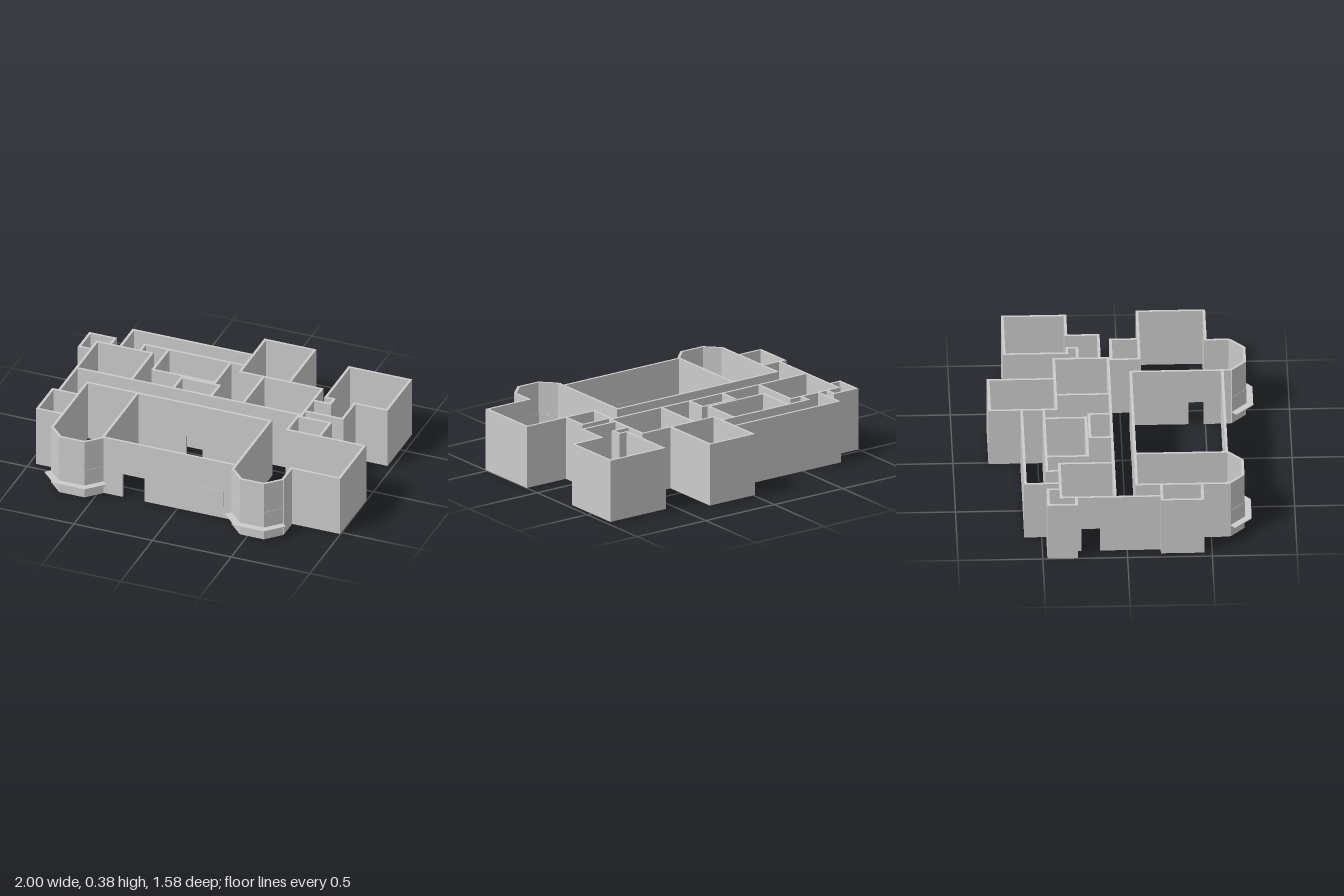
import * as THREE from 'three';

const HEIGHT = 0.38, HALF = 0.008, DOOR = 0.157;
const SILL = 0.08, HEAD = 0.185;

// Mitred offset of an open [x, z] path; positive is towards +z for a path running along +x.
function offsetPath(path, distance) {
  const normals = path.slice(1).map(([x, z], i) =>
    new THREE.Vector2(path[i][1] - z, x - path[i][0]).normalize());
  return path.map(([x, z], i) => {
    const a = normals[Math.max(i - 1, 0)];
    const b = normals[Math.min(i, normals.length - 1)];
    const k = distance / (1 + a.dot(b));
    return new THREE.Vector2(x + (a.x + b.x) * k, z + (a.y + b.y) * k);
  });
}

// Upright strip following a path, between two side offsets and two heights.
function strip(path, inner, outer, y0, y1) {
  const outline = [...offsetPath(path, inner), ...offsetPath(path, outer).reverse()];
  const shape = new THREE.Shape(outline.map(p => new THREE.Vector2(p.x, -p.y)));
  const geometry = new THREE.ExtrudeGeometry(shape, { depth: y1 - y0, bevelEnabled: false });
  return geometry.rotateX(-Math.PI / 2).translate(0, y0, 0);
}

export function createModel() {
  const model = new THREE.Group();
  model.name = 'floorPlan';
  const material = new THREE.MeshStandardMaterial({ color: 0xcccccc, flatShading: true });

  function add(name, path, inner = -HALF, outer = HALF, y0 = 0, y1 = HEIGHT) {
    const mesh = new THREE.Mesh(strip(path, inner, outer, y0, y1), material);
    mesh.name = name;
    model.add(mesh);
  }

  // Straight wall with a doorway between fractions set by two points on it
  function doorWall(name, start, doorA, doorB, end) {
    add(name, [start, doorA]);
    add(name, [doorB, end]);
    add(name + 'Lintel', [doorA, doorB], -HALF, HALF, DOOR, HEIGHT);
  }

  const walls = {
    // back range
    backRoom: [[-0.005, -0.39], [-0.005, -0.783], [0.31, -0.783], [0.31, -0.39]],
    backCorridorOuter: [[-0.767, -0.39], [-0.767, -0.595], [-0.005, -0.595]],
    backCorridorInner: [[-0.64, -0.39], [-0.64, -0.465], [-0.005, -0.465]],
    backCloset: [[-0.49, -0.465], [-0.49, -0.22], [-0.095, -0.22], [-0.095, -0.465]],
    hallCloset: [[-0.3, -0.07], [-0.3, -0.2], [-0.06, -0.2], [-0.06, -0.07]],
    // left range
    leftBackRoom: [[-0.923, -0.39], [-0.565, -0.39], [-0.565, -0.07]],
    leftPorch: [[-0.915, -0.3], [-0.99, -0.3], [-0.99, -0.465], [-0.83, -0.465], [-0.83, -0.39]],
    leftAnnex: [[-0.795, 0.205], [-0.955, 0.205], [-0.955, 0.445], [-0.795, 0.445]],
    // middle range
    middleRoom: [[-0.013, -0.39], [0.515, -0.39], [0.515, -0.062]],
    middlePartition: [[0.145, -0.39], [0.145, -0.07]],
    hallWall: [[-0.915, -0.07], [0.515, -0.07]],
    // right range
    rightBackRoom: [[0.515, -0.25], [0.625, -0.25], [0.625, -0.31], [0.572, -0.31],
      [0.572, -0.68], [0.96, -0.68], [0.96, -0.31], [0.755, -0.31], [0.755, -0.12], [0.515, -0.12]],
    rightCloset: [[0.5, -0.05], [0.705, -0.05], [0.705, 0.115]],
    rightRoom: [[0.5, -0.07], [0.5, 0.115], [0.99, 0.115], [0.99, 0.51], [0.685, 0.51], [0.685, 0.65]],
    // front range
    frontLeftRoom: [[-0.795, 0.61], [-0.795, 0.052]],
    frontPartition: [[-0.475, 0.06], [-0.475, 0.61]],
  };
  for (const [name, path] of Object.entries(walls)) add(name, path);

  // Walls with doorways
  doorWall('frontWall', [-0.475, 0.6], [-0.35, 0.6], [-0.21, 0.6], [0.37, 0.6]);
  doorWall('mainRoomBackWall', [-0.795, 0.06], [-0.165, 0.06], [-0.06, 0.06], [0.378, 0.06]);
  doorWall('mainRoomSideWall', [0.37, 0.06], [0.37, 0.4], [0.37, 0.49], [0.37, 0.65]);
  doorWall('leftWall', [-0.915, -0.39], [-0.915, -0.27], [-0.915, -0.16], [-0.915, 0.205]);

  // Wide window in the front wall
  add('frontWindow', [[-0.15, 0.6], [0.295, 0.6]], -HALF - 0.002, HALF + 0.002, SILL, HEAD);

  // Bay windows with a projecting sill
  const bays = {
    rightBay: [[-0.795, 0.607], [-0.712, 0.69], [-0.558, 0.69], [-0.475, 0.607]],
    leftBay: [[0.37, 0.65], [0.455, 0.735], [0.6, 0.735], [0.685, 0.65]],
  };
  for (const [name, path] of Object.entries(bays)) {
    add(name + 'Wall', path);
    add(name + 'Window', path, -HALF - 0.002, HALF + 0.002, SILL, HEAD);
    add(name + 'Sill', path, 0, 0.05, SILL - 0.003, SILL + 0.003);
  }
  return model;
}
